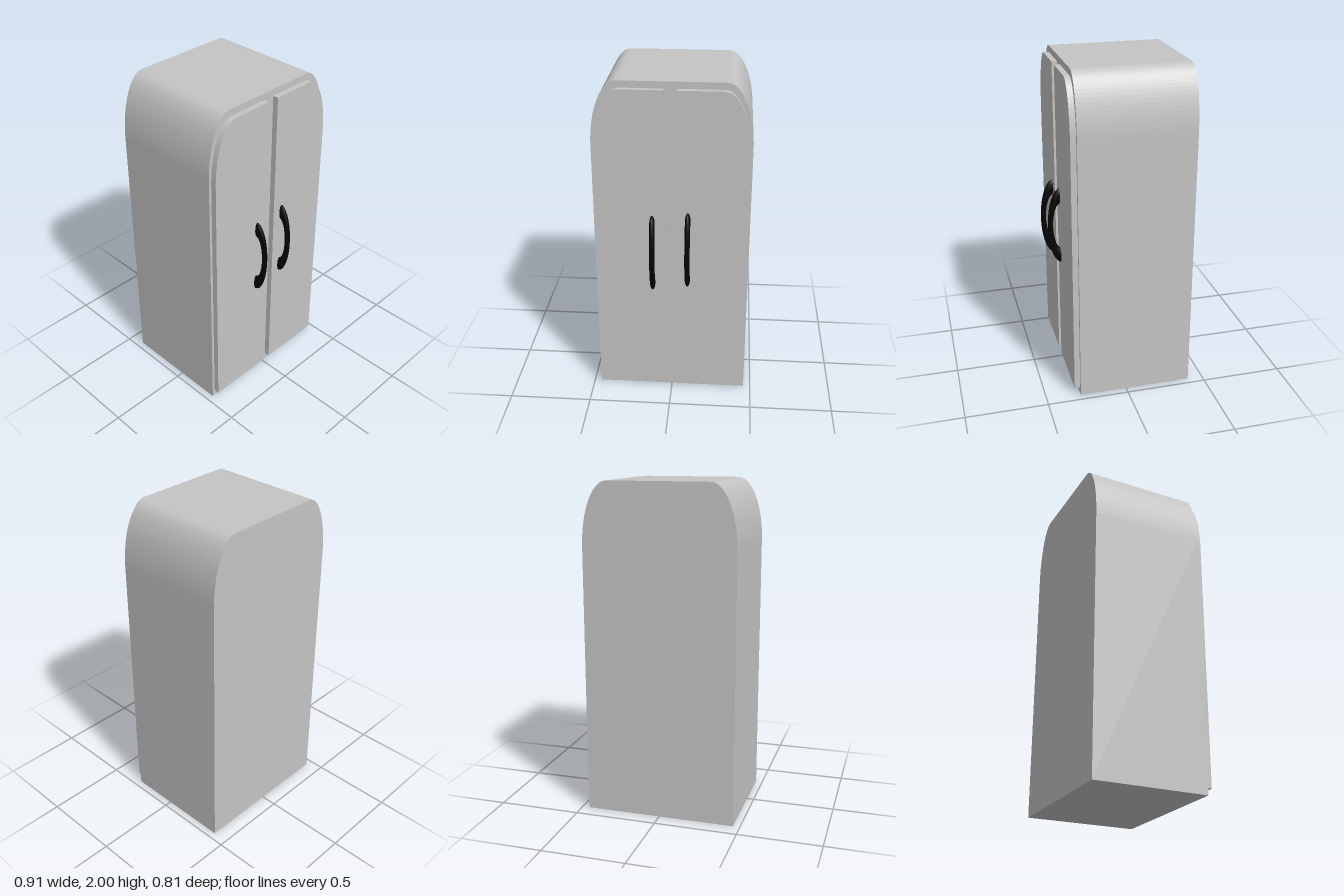
import * as THREE from 'three';

// Upright panel outline; rx/ry round the chosen upper corners elliptically
function outline(x0, x1, y0, y1, rx, ry, roundLeft, roundRight) {
  const s = new THREE.Shape();
  s.moveTo(x0, y0);
  s.lineTo(x1, y0);
  if (roundRight) {
    s.lineTo(x1, y1 - ry);
    s.absellipse(x1 - rx, y1 - ry, rx, ry, 0, Math.PI / 2, false);
  } else s.lineTo(x1, y1);
  if (roundLeft) {
    s.lineTo(x0 + rx, y1);
    s.absellipse(x0 + rx, y1 - ry, rx, ry, Math.PI / 2, Math.PI, false);
  } else s.lineTo(x0, y1);
  s.closePath();
  return s;
}

function slab(name, shape, z0, z1, material) {
  const geo = new THREE.ExtrudeGeometry(shape, { depth: z1 - z0, bevelEnabled: false, curveSegments: 10 });
  geo.translate(0, 0, z0);
  const mesh = new THREE.Mesh(geo, material);
  mesh.name = name;
  return mesh;
}

export function createModel() {
  const group = new THREE.Group();
  group.name = 'cabinet';
  const grey = new THREE.MeshStandardMaterial({ color: 0xc4c4c4 });
  grey.name = 'light grey';
  const black = new THREE.MeshStandardMaterial({ color: 0x050505 });
  black.name = 'black';

  // Body with rounded shoulders
  group.add(slab('body', outline(-0.458, 0.457, 0, 2, 0.155, 0.38, true, true), -0.405, 0.289, grey));

  // Doors, each rounded at its outer upper corner
  group.add(slab('rightDoor', outline(-0.441, -0.041, 0.045, 1.96, 0.15, 0.36, true, false), 0.288, 0.323, grey));
  group.add(slab('leftDoor', outline(0.03, 0.44, 0.045, 1.96, 0.15, 0.36, false, true), 0.288, 0.323, grey));

  // Handles: half rings stretched upright
  const ring = new THREE.TorusGeometry(0.8, 0.2, 14, 32, Math.PI);
  ring.rotateX(Math.PI / 2);
  ring.rotateZ(Math.PI / 2);
  ring.scale(0.08, 0.245, 0.081);
  const handles = [
    ['rightHandle', -0.112, 0.965, 0.323, 0.03],
    ['leftHandle', 0.096, 0.99, 0.317, 0],
  ];
  for (const [name, x, y, z, turn] of handles) {
    const handle = new THREE.Mesh(ring, black);
    handle.name = name;
    handle.position.set(x, y, z);
    handle.rotation.y = turn;
    group.add(handle);
  }
  return group;
}
